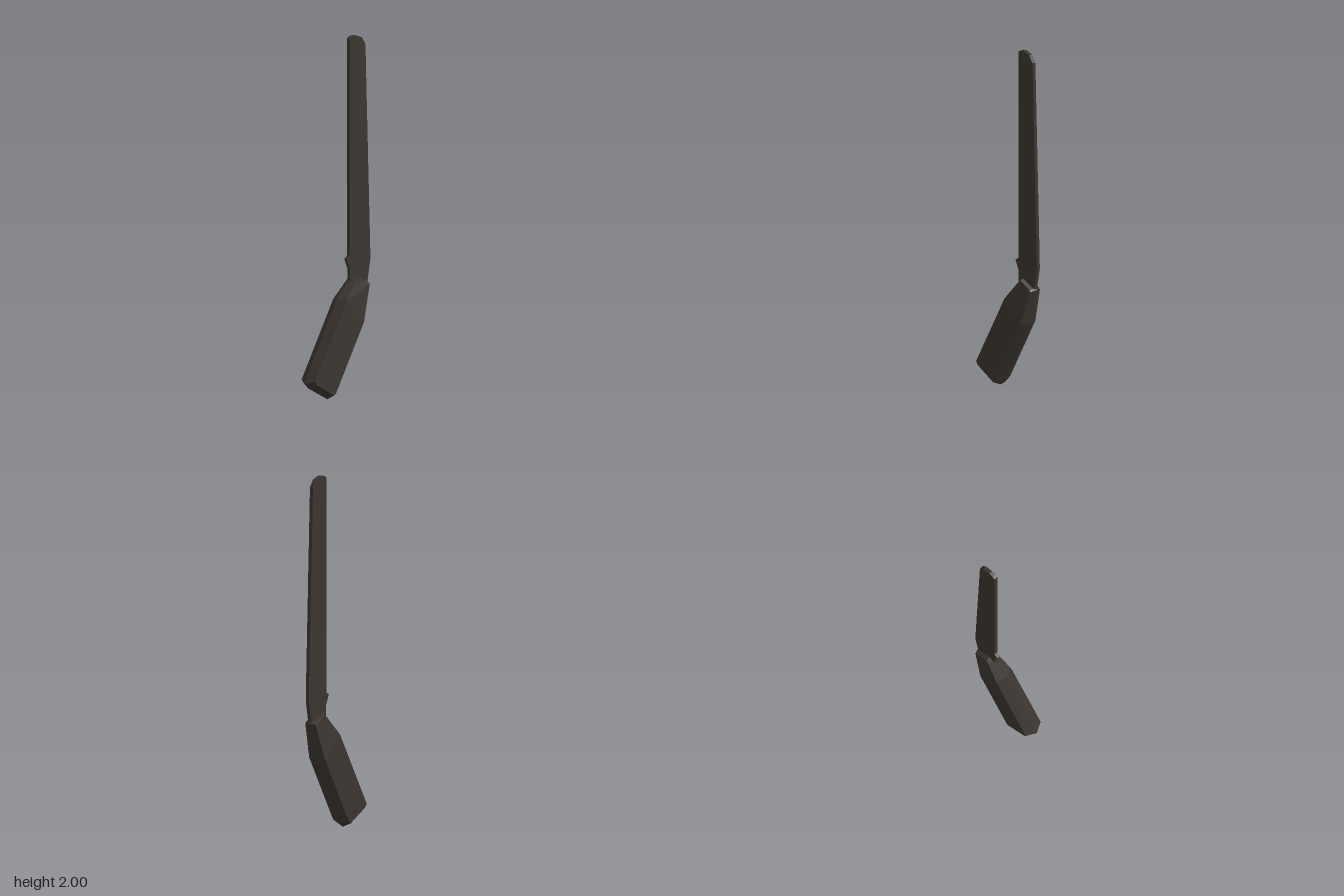
import * as THREE from 'three';

const material = new THREE.MeshStandardMaterial({ color: 0x3b3530, flatShading: true });

// Flat slab with a small spur at the heel, rooted in the handle
function createBlade() {
  const outline = [
    [0.08, 1.985], [0.08, 0.785], [0.058, 0.768], [0.083, 0.71], [0.08, 0.6], [0.17, 0.52],
    [0.203, 0.62], [0.226, 0.755], [0.225, 0.81], [0.191, 1.945], [0.165, 1.985], [0.12, 2], [0.095, 1.995],
  ];
  const shape = new THREE.Shape(outline.map(([x, y]) => new THREE.Vector2(x, y)));
  const geometry = new THREE.ExtrudeGeometry(shape, { depth: 0.022, bevelEnabled: false });
  geometry.translate(0, 0, -0.011);
  const mesh = new THREE.Mesh(geometry, material);
  mesh.name = 'blade';
  return mesh;
}

// Six-sided grip: each station has ridge points at z = 0 and inset face points at z = +-h
function createHandle() {
  const stations = [
    { ridge: [-0.205, 0.078, -0.07, 0.005], face: [-0.19, 0.1, -0.07, 0.032], h: 0.058 },
    { ridge: [-0.232, 0.105, -0.04, 0.026], face: [-0.204, 0.12, -0.057, 0.04], h: 0.058 },
    { ridge: [0, 0.56, 0.157, 0.41], face: [0.02, 0.545, 0.143, 0.42], h: 0.058 },
    { ridge: [0.085, 0.655, 0.212, 0.628], face: [0.1, 0.647, 0.2, 0.622], h: 0.037 },
    { ridge: [0.115, 0.68, 0.205, 0.637], face: [0.12, 0.668, 0.193, 0.632], h: 0.035 },
  ];
  const rings = stations.map(({ ridge: [lx, ly, rx, ry], face: [fx, fy, gx, gy], h }) => [
    [lx, ly, 0], [fx, fy, h], [gx, gy, h], [rx, ry, 0], [gx, gy, -h], [fx, fy, -h],
  ]);
  const positions = [];
  const quad = (a, b, c, d) => positions.push(...a, ...b, ...c, ...a, ...c, ...d);

  // Sides
  for (let i = 0; i < rings.length - 1; i++) {
    for (let j = 0; j < 6; j++) {
      const k = (j + 1) % 6;
      quad(rings[i][j], rings[i][k], rings[i + 1][k], rings[i + 1][j]);
    }
  }
  // Ridged end caps
  const [b, t] = [rings[0], rings[rings.length - 1]];
  quad(t[0], t[1], t[2], t[3]);
  quad(t[0], t[3], t[4], t[5]);
  quad(b[3], b[2], b[1], b[0]);
  quad(b[5], b[4], b[3], b[0]);

  const geometry = new THREE.BufferGeometry();
  geometry.setAttribute('position', new THREE.Float32BufferAttribute(positions, 3));
  geometry.computeVertexNormals();
  const mesh = new THREE.Mesh(geometry, material);
  mesh.name = 'handle';
  return mesh;
}

export function createModel() {
  const model = new THREE.Group();
  model.name = 'machete';
  model.add(createBlade(), createHandle());
  return model;
}
